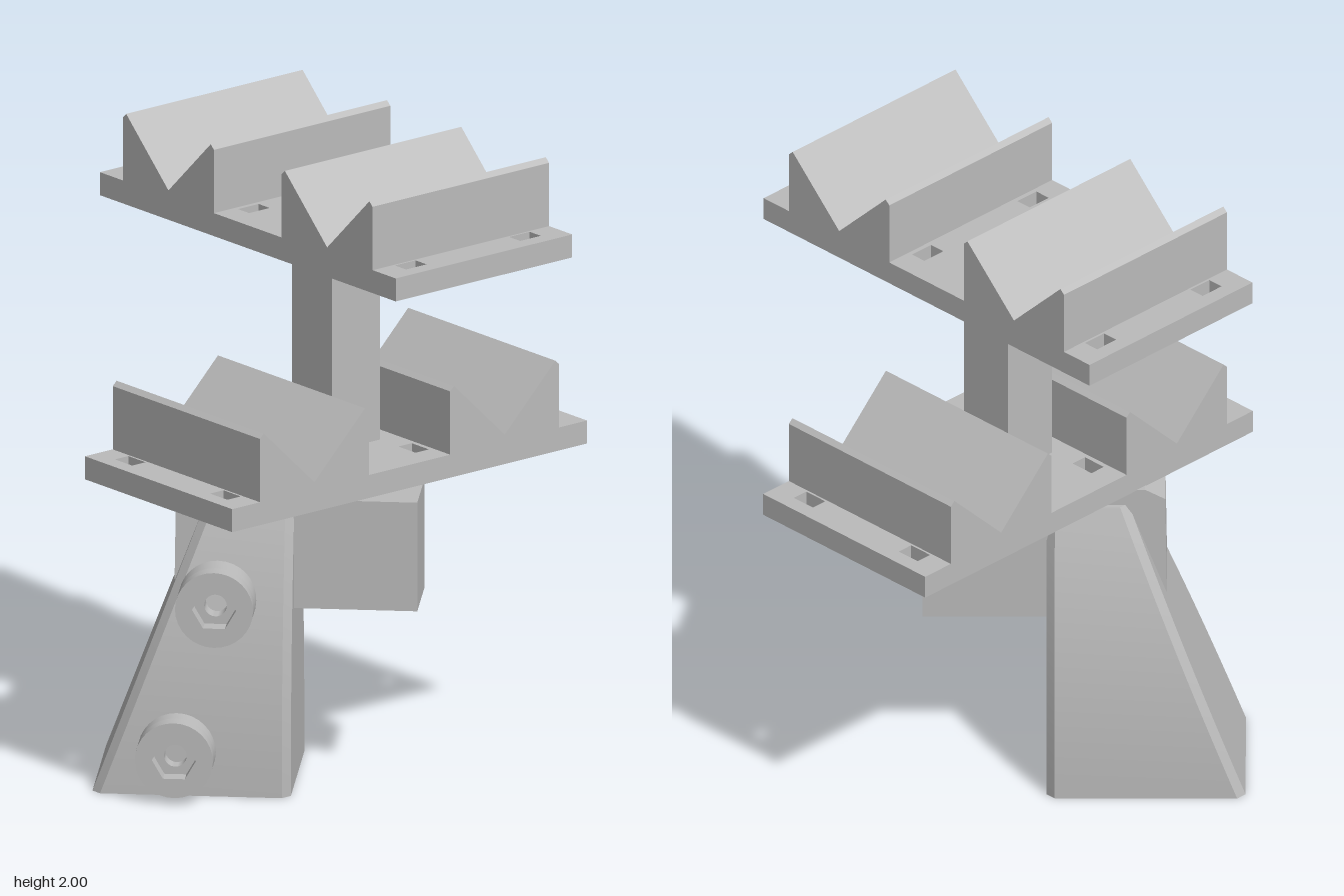
import * as THREE from 'three';
import { toCreasedNormals } from 'three/addons/utils/BufferGeometryUtils.js';

const grey = new THREE.MeshStandardMaterial({ color: 0xbbbbbb });
grey.name = 'plain grey';

function add(parent, name, geometry, x = 0, y = 0, z = 0) {
  const mesh = new THREE.Mesh(geometry, grey);
  mesh.name = name;
  mesh.position.set(x, y, z);
  parent.add(mesh);
  return mesh;
}

const polygon = (points) => new THREE.Shape(points.map(([x, y]) => new THREE.Vector2(x, y)));

// Extrusion centred on z = 0
function prism(shape, depth) {
  return new THREE.ExtrudeGeometry(shape, { depth, bevelEnabled: false, curveSegments: 16 })
    .translate(0, 0, -depth / 2);
}

// Slotted plate with two V-shaped cradles; its base is at y = 0
function makeTray(name) {
  const tray = new THREE.Group();
  tray.name = name;
  const plan = polygon([[-0.69, -0.343], [0.69, -0.343], [0.69, 0.343], [-0.69, 0.343]]);
  for (const x of [-0.615, -0.117, 0.117, 0.615]) {
    for (const z of [-0.222, 0.222]) {
      const hx = 0.026, hz = 0.04;
      plan.holes.push(polygon([[x - hx, z - hz], [x - hx, z + hz], [x + hx, z + hz], [x + hx, z - hz]]));
    }
  }
  add(tray, 'trayPlate', prism(plan, 0.072).rotateX(-Math.PI / 2), 0, 0.036, 0);
  const cradle = polygon([[-0.212, 0.068], [0.212, 0.068], [0.212, 0.27], [0.197, 0.284],
    [0, 0.092], [-0.197, 0.284], [-0.212, 0.27]]);
  for (const side of [-1, 1]) add(tray, 'cradle', prism(cradle, 0.686), side * 0.37, 0, 0);
  return tray;
}

// Hollow tapering tower: local z points along its sloping side
function towerGeometry() {
  const height = 0.93, steps = 14;
  const ring = (y, inset) => {
    const t = y / height, c = 0.025;
    const w = 0.25 - 0.135 * Math.pow(t, 2.2) - inset;
    const far = 0.71 - 0.35 * t - inset, near = 0.115 + inset;
    return [[w, far - c], [w, near + c], [w - c, near], [c - w, near],
      [-w, near + c], [-w, far - c], [c - w, far], [w - c, far]].map(([x, z]) => [x, y, z]);
  };
  const closed = (y) => Array(8).fill([0, y, 0.24]);
  // Lining from the top down, then the outer skin from the bottom up
  const rings = [closed(height - 0.05)];
  for (let i = steps; i >= 0; i--) rings.push(ring(i / steps * (height - 0.05), 0.045));
  for (let i = 0; i <= steps; i++) rings.push(ring(i / steps * height, 0));
  rings.push(closed(height));

  const index = [];
  for (let i = 0; i < rings.length - 1; i++) {
    for (let j = 0; j < 8; j++) {
      const a = i * 8 + j, b = i * 8 + (j + 1) % 8;
      index.push(a, b, a + 8, b, b + 8, a + 8);
    }
  }
  const g = new THREE.BufferGeometry();
  g.setAttribute('position', new THREE.Float32BufferAttribute(rings.flat(2), 3));
  g.setIndex(index);
  return toCreasedNormals(g, 0.3);
}

// Round bolt head with a hexagonal socket and a small bore, facing +x
function makeBolt(y, back, z) {
  const bolt = new THREE.Group();
  bolt.name = 'bolt';
  const disc = (hole) => {
    const s = new THREE.Shape().absarc(0, 0, 0.117, 0, Math.PI * 2, false);
    s.holes.push(hole);
    return s;
  };
  const hex = polygon([0, 1, 2, 3, 4, 5].map((i) => {
    const a = -i * Math.PI / 3;
    return [0.066 * Math.cos(a), 0.066 * Math.sin(a)];
  }));
  const bore = new THREE.Path().absarc(0, 0, 0.034, 0, Math.PI * 2, true);
  const part = (shape, depth) => toCreasedNormals(prism(shape, depth).rotateY(Math.PI / 2), 0.5);
  add(bolt, 'boltHeadBase', part(disc(bore), 0.075), 0.0125, 0, 0);
  add(bolt, 'boltSocket', part(disc(hex), 0.05), 0.075, 0, 0);
  bolt.position.set(back, y, z);
  return bolt;
}

export function createModel() {
  const model = new THREE.Group();
  model.name = 'cradleStand';

  // Two crossed trays and the post between them
  const upper = makeTray('upperTray');
  upper.position.y = 1.716;
  const lower = makeTray('lowerTray');
  lower.position.y = 0.98;
  lower.rotation.y = Math.PI / 2;
  model.add(upper, lower);
  add(model, 'post', new THREE.BoxGeometry(0.186, 0.68, 0.186), 0, 1.383, 0);

  // Foot assembly, set diagonally
  const foot = new THREE.Group();
  foot.name = 'foot';
  foot.rotation.y = -Math.PI / 4;
  model.add(foot);
  add(foot, 'tower', towerGeometry());
  add(foot, 'counterBlock', new THREE.BoxGeometry(0.242, 0.34, 0.385), -0.002, 0.725, -0.062);

  // Cap under the lower tray, with a lip hanging down the sloping side
  const cap = polygon([[0.08, 0.945], [0.12, 0.915], [0.34, 0.915], [0.42, 0.63],
    [0.475, 0.63], [0.47, 0.95], [0.41, 0.982], [0.08, 0.982]]);
  add(foot, 'cap', prism(cap, 0.2).rotateY(-Math.PI / 2));

  foot.add(makeBolt(0.6, 0.208, 0.338), makeBolt(0.138, 0.245, 0.455));
  return model;
}
